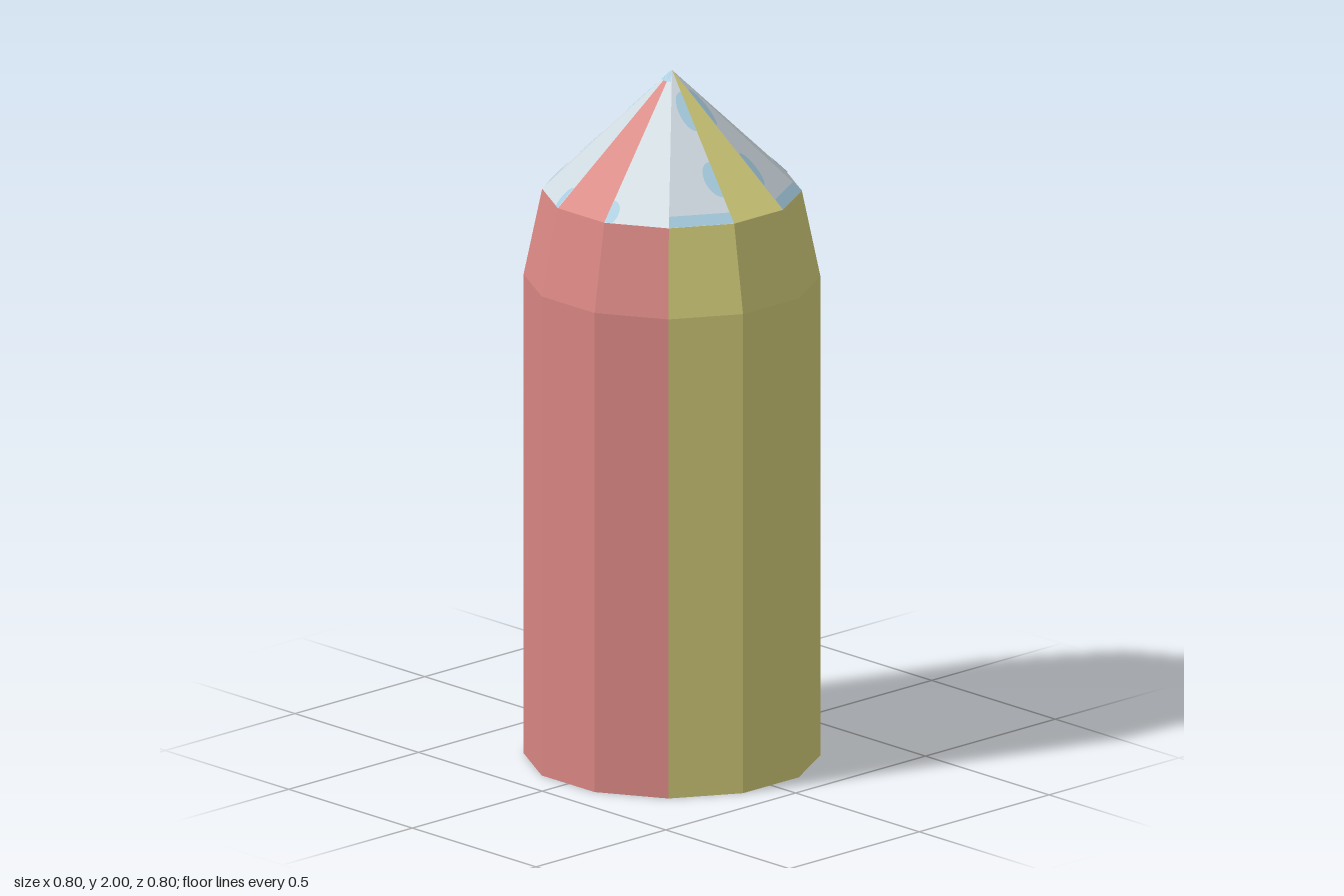
import * as THREE from 'three';

const STEP = Math.PI / 6;             // twelve sides
const K = Math.tan(STEP / 2);         // half side width per unit of apothem

const mat = (name, color) => {
  const m = new THREE.MeshStandardMaterial({ color });
  m.name = name;
  return m;
};

// Point on side k: apothem t, sideways offset s, height y
const at = (k, t, s, y) => {
  const a = k * STEP;
  return new THREE.Vector3(Math.sin(a) * t + Math.cos(a) * s, y, Math.cos(a) * t - Math.sin(a) * s);
};

// Flat convex polygons fanned into triangles, all facing outwards
function polygons(list) {
  const pos = [];
  const core = new THREE.Vector3(0, 1, 0);
  for (const p of list) {
    for (let i = 1; i < p.length - 1; i++) {
      const tri = [p[0], p[i], p[i + 1]];
      const n = tri[1].clone().sub(tri[0]).cross(tri[2].clone().sub(tri[0]));
      if (n.dot(tri[0].clone().sub(core)) < 0) tri.reverse();
      tri.forEach(v => pos.push(v.x, v.y, v.z));
    }
  }
  const g = new THREE.BufferGeometry();
  g.setAttribute('position', new THREE.Float32BufferAttribute(pos, 3));
  g.computeVertexNormals();
  return g;
}

// Trapezoid on side k between two rings [apothem, height]
const panel = (k, [t0, y0], [t1, y1]) => [
  at(k, t0, -t0 * K, y0), at(k, t0, t0 * K, y0), at(k, t1, t1 * K, y1), at(k, t1, -t1 * K, y1)
];

// Outline of [apothem, offset] pairs laid on the 45 degree tip, lifted slightly
const onTip = (k, pts, lift = 0) => pts.map(([t, s]) => at(k, t + lift, s, 2 - t + lift));

// Half ellipse growing inwards from one edge of a tip facet
function blob(side, t0, r, w) {
  const pts = [];
  for (let i = 0; i <= 12; i++) {
    const a = (i / 12) * Math.PI;
    const t = Math.min(0.35, t0 + r * Math.cos(a));
    pts.push([t, side * (t * K - w * Math.sin(a))]);
  }
  return pts;
}

export function createModel() {
  const group = new THREE.Group();
  const paints = [
    mat('yellow', 0xdad47e), mat('green', 0x68dc90), mat('blue', 0x6bb4de), mat('red', 0xd88682)
  ];
  const silver = mat('silver', 0xced9df);
  const frost = mat('pale blue', 0xa6cce0);
  const slate = mat('slate', 0x7a8192);
  const add = (name, list, material) => {
    const m = new THREE.Mesh(polygons(list), material);
    m.name = name;
    group.add(m);
  };
  const facet = [[0, 0], [0.35, -0.35 * K], [0.35, 0.35 * K]];
  const names = ['front', 'left', 'back', 'right'];
  const silverFaces = [], frostFaces = [];

  names.forEach((name, q) => {
    const sides = [3 * q - 1, 3 * q, 3 * q + 1];
    // Painted quarter of the body and its tapered shoulder
    add(name + 'Body', sides.map(k => panel(k, [0.4, 0], [0.4, 1.4])), paints[q]);
    add(name + 'Shoulder', sides.map(k => panel(k, [0.4, 1.4], [0.35, 1.65])), paints[q]);

    // Coloured wedge of the tip, slimmer at the back
    if (q === 2) {
      silverFaces.push(onTip(6, facet));
      for (const s of [-1, 1]) frostFaces.push(onTip(6, blob(s, 0.095, 0.045, 0.012), 0.001));
      add('backWedge', [onTip(6, [[0.02, 0], [0.15, -0.03], [0.35, -0.092], [0.35, 0.092], [0.15, 0.03]], 0.002)], paints[2]);
    } else {
      add(name + 'Wedge', [onTip(3 * q, facet)], paints[q]);
    }

    // Silver facets beside the wedge, with pale patches
    for (const d of [-1, 1]) {
      const k = 3 * q + d;
      silverFaces.push(onTip(k, facet));
      if (q % 2 === 0) {
        frostFaces.push(onTip(k, [[0.325, -0.325 * K], [0.325, 0.325 * K], [0.35, 0.35 * K], [0.35, -0.35 * K]], 0.001));
        frostFaces.push(onTip(k, blob(-d, 0.25, 0.04, 0.035), 0.001));
        frostFaces.push(onTip(k, blob(-d, 0.095, 0.045, 0.03), 0.001));
      } else {
        frostFaces.push(onTip(k, blob(-d, 0.33, 0.03, 0.03), 0.001));
      }
    }
  });

  // Pale point over the back and right of the tip
  for (const k of [5, 6, 7, 8, 9, 10]) {
    frostFaces.push(onTip(k, [[0, 0], [0.027, -0.027 * K], [0.027, 0.027 * K]], 0.001));
  }
  add('tip', silverFaces, silver);
  add('tipPatches', frostFaces, frost);

  // Flat underside
  const ring = Array.from({ length: 12 }, (_, k) => at(k, 0.4, 0.4 * K, 0));
  add('base', [ring], slate);
  return group;
}
